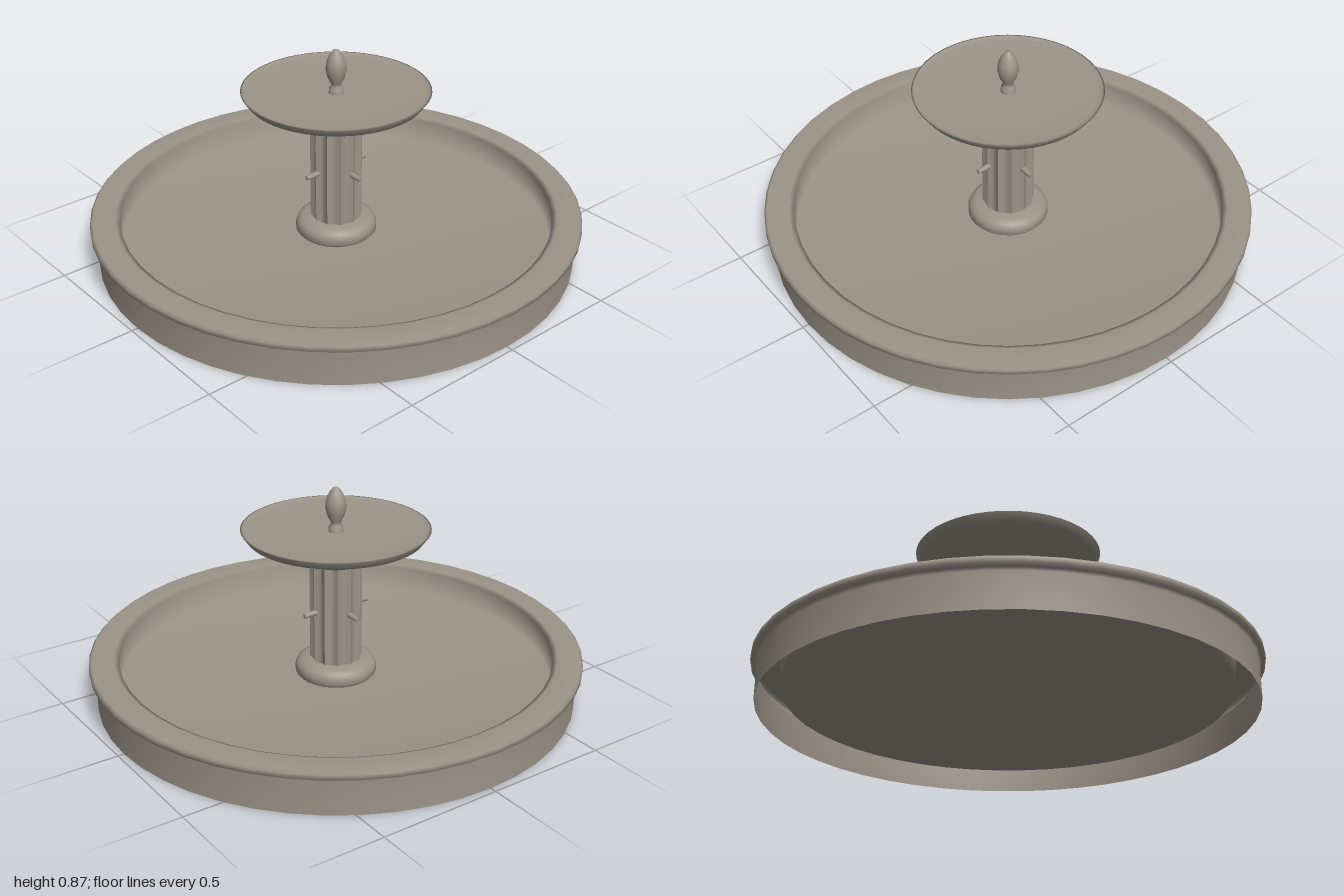
import * as THREE from 'three';

export function createModel() {
  const fountain = new THREE.Group();
  fountain.name = 'fountain';
  const stone = new THREE.MeshStandardMaterial({ color: 0x9c9488, side: THREE.DoubleSide });
  stone.name = 'stone';

  const add = (name, geometry) => {
    const mesh = new THREE.Mesh(geometry, stone);
    mesh.name = name;
    fountain.add(mesh);
    return mesh;
  };
  // Turned part from [radius, height] pairs; bottom to top on the outside
  const turned = (name, profile, sides) =>
    add(name, new THREE.LatheGeometry(profile.map(([r, y]) => new THREE.Vector2(r, y)), sides));

  // Wide basin: outer wall, rounded rim, inner wall and floor, open below
  turned('basin', [
    [0.975, 0], [0.975, 0.14], [0.985, 0.15], [1, 0.158], [1, 0.178], [0.99, 0.187],
    [0.9, 0.187], [0.88, 0.178], [0.88, 0.068], [0, 0.068],
  ], 48);

  // Rounded foot of the column
  turned('columnFoot', [
    [0, 0.067], [0.155, 0.067], [0.166, 0.08], [0.166, 0.105], [0.157, 0.125],
    [0.135, 0.137], [0.1, 0.14],
  ], 32);

  // Fluted column: scalloped outline extruded upwards
  const flutes = 12, steps = 6, outline = [];
  for (let i = 0; i < flutes * steps; i++) {
    const a = (i / (flutes * steps)) * Math.PI * 2;
    const r = 0.106 - 0.014 * Math.abs(Math.sin((a * flutes) / 2));
    outline.push(new THREE.Vector2(Math.cos(a) * r, Math.sin(a) * r));
  }
  const shaft = new THREE.ExtrudeGeometry(new THREE.Shape(outline), { depth: 0.45, bevelEnabled: false });
  shaft.rotateX(-Math.PI / 2).translate(0, 0.12, 0);
  add('column', shaft);

  // Moulded capital
  turned('capital', [
    [0, 0.56], [0.106, 0.56], [0.124, 0.578], [0.124, 0.59], [0.106, 0.607], [0.11, 0.625],
  ], 32);

  // Upper dish with a thin lip
  turned('upperDish', [
    [0.09, 0.61], [0.13, 0.616], [0.2, 0.632], [0.29, 0.648], [0.355, 0.668], [0.378, 0.7],
    [0.37, 0.7], [0.35, 0.69], [0.2, 0.686], [0, 0.684],
  ], 48);

  // Bud-shaped finial
  turned('finial', [
    [0.03, 0.684], [0.028, 0.705], [0.02, 0.715], [0.022, 0.728], [0.034, 0.75],
    [0.042, 0.785], [0.039, 0.815], [0.027, 0.845], [0.013, 0.864], [0, 0.87],
  ], 20);

  // Four water spouts around the column
  for (let i = 0; i < 4; i++) {
    const geometry = new THREE.CylinderGeometry(0.009, 0.014, 0.07, 10);
    geometry.rotateZ(-Math.PI / 2 - 0.06).translate(0.118, 0.355, 0).rotateY((i * Math.PI) / 2);
    add('spout', geometry);
  }

  return fountain;
}
